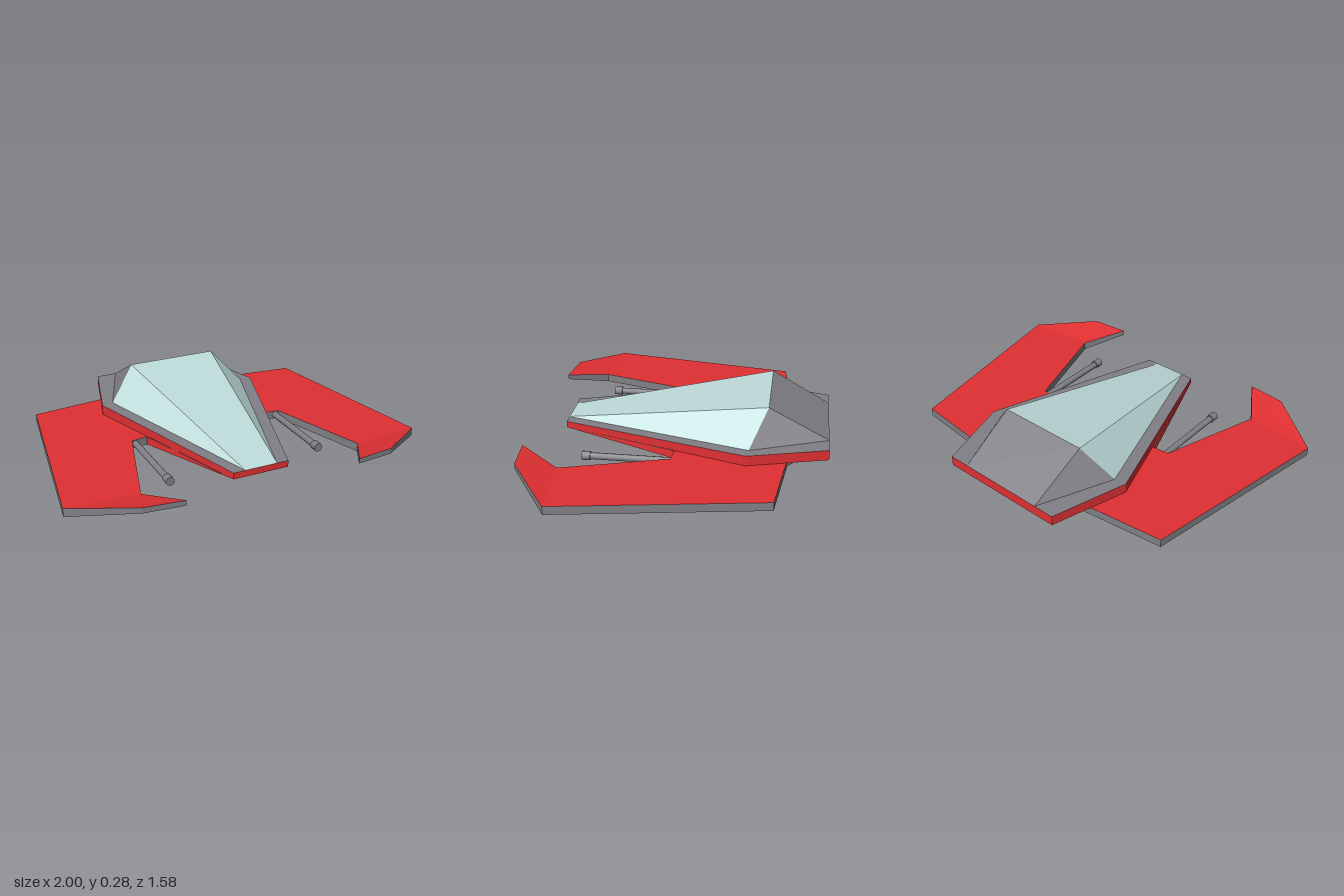
import * as THREE from 'three';

const mat = (name, color, extra = {}) => {
  const m = new THREE.MeshStandardMaterial({ color, ...extra });
  m.name = name;
  return m;
};

// Flat-shaded mesh from loops of triangles; one material group per triangle list
function flatMesh(name, lists, mats) {
  const pos = [];
  const geo = new THREE.BufferGeometry();
  lists.forEach((tris, i) => {
    geo.addGroup(pos.length / 3, tris.length * 3, i);
    tris.forEach(t => t.forEach(p => pos.push(...p)));
  });
  geo.setAttribute('position', new THREE.Float32BufferAttribute(pos, 3));
  geo.computeVertexNormals();
  const mesh = new THREE.Mesh(geo, mats);
  mesh.name = name;
  return mesh;
}

// Fan each convex face into triangles
const fan = faces => faces.flatMap(f => f.slice(2).map((p, i) => [f[0], f[i + 1], p]));

// The same face on the other side
const mirrorFace = f => f.map(([x, y, z]) => [-x, y, z]).reverse();
const bothSides = faces => [...faces, ...faces.map(mirrorFace)];

// Slab from an outline of [x, z, top, bottom]; materials are [top, edge, bottom]
function slab(name, outline, mats) {
  let pts = outline;
  if (THREE.ShapeUtils.isClockWise(pts.map(p => new THREE.Vector2(p[0], -p[1])))) pts = [...pts].reverse();
  const contour = pts.map(p => new THREE.Vector2(p[0], -p[1]));
  const hi = pts.map(p => [p[0], p[2], p[1]]);
  const lo = pts.map(p => [p[0], p[3], p[1]]);
  const tris = THREE.ShapeUtils.triangulateShape(contour, []);
  const edges = pts.map((_, i) => {
    const j = (i + 1) % pts.length;
    return [lo[i], lo[j], hi[j], hi[i]];
  });
  return flatMesh(name, [
    tris.map(t => t.map(i => hi[i])),
    fan(edges),
    tris.map(([a, b, c]) => [lo[a], lo[c], lo[b]]),
  ], mats);
}

// Close a half outline across x = 0
const symmetric = half => [...half, ...half.map(([x, ...r]) => [-x, ...r]).reverse()];

export function createModel() {
  const model = new THREE.Group();
  model.name = 'lowWingedCraft';
  const red = mat('red paint', 0xe03032);
  const grey = mat('grey metal', 0x808086);
  const glass = mat('pale glass', 0xbddad9);

  // Wing plate running under the hull
  const T = 0.045;
  const wing = [
    [0.18, -0.72], [0.36, -0.58], [0.82, -0.53], [1, 0.54],
    [0.62, 0.57], [0.45, 0.02], [0.36, 0.01], [0.21, 0.12],
  ].map(([x, z]) => [x, z, T, 0]);
  model.add(slab('wings', symmetric(wing), [red, grey, red]));

  // Upturned wing tips
  for (const s of [1, -1]) {
    const tip = [
      [s, 0.54, T, 0], [s * 0.69, 0.765, 0.09, 0.06],
      [s * 0.48, 0.787, 0.088, 0.06], [s * 0.62, 0.57, T, 0],
    ];
    model.add(slab(s > 0 ? 'leftWingTip' : 'rightWingTip', tip, [red, grey, red]));
  }

  // Hull deck in a sloping front and a level rear
  const hullMats = [grey, red, grey];
  model.add(slab('hullFront', symmetric([[0.155, 0.635, 0.08, T], [0.475, -0.37, 0.1, T]]), hullMats));
  model.add(slab('hullRear', symmetric([[0.475, -0.37, 0.1, T], [0.355, -0.79, 0.1, T]]), hullMats));

  // Canopy: glass in front, metal behind
  const front = [0.09, 0.08, 0.635], side = [0.41, 0.1, -0.38];
  const peak = [0.255, 0.275, -0.47], rear = [0.24, 0.1, -0.79];
  const flip = ([x, y, z]) => [-x, y, z];
  const windows = [[flip(front), front, peak, flip(peak)], ...bothSides([[front, side, peak]])];
  const back = [[rear, flip(rear), flip(peak), peak], ...bothSides([[side, rear, peak]])];
  model.add(flatMesh('canopyGlass', [fan(windows)], [glass]));
  model.add(flatMesh('canopyBack', [fan(back)], [grey]));

  // Chin rising from the wing plate to the nose
  const nose = [0.155, T, 0.635], keel = [0.21, 0, 0.12];
  const root = [0.36, 0, 0.01], rootTop = [0.36, T, 0];
  const chin = [
    [keel, nose, flip(nose), flip(keel)],
    ...bothSides([[root, nose, keel], [rootTop, nose, root]]),
  ];
  model.add(flatMesh('chin', [fan(chin)], [red]));

  // Forward barrels in the wing notches
  for (const s of [1, -1]) {
    const gun = new THREE.Group();
    gun.name = s > 0 ? 'leftBarrel' : 'rightBarrel';
    for (const [name, r, z0, z1] of [['barrel', 0.018, -0.02, 0.45], ['muzzle', 0.024, 0.44, 0.485]]) {
      const geo = new THREE.CylinderGeometry(r, r, z1 - z0, 10).rotateX(Math.PI / 2);
      const m = new THREE.Mesh(geo, grey);
      m.name = name;
      m.position.set(s * 0.43, 0.024, (z0 + z1) / 2);
      gun.add(m);
    }
    model.add(gun);
  }
  return model;
}
